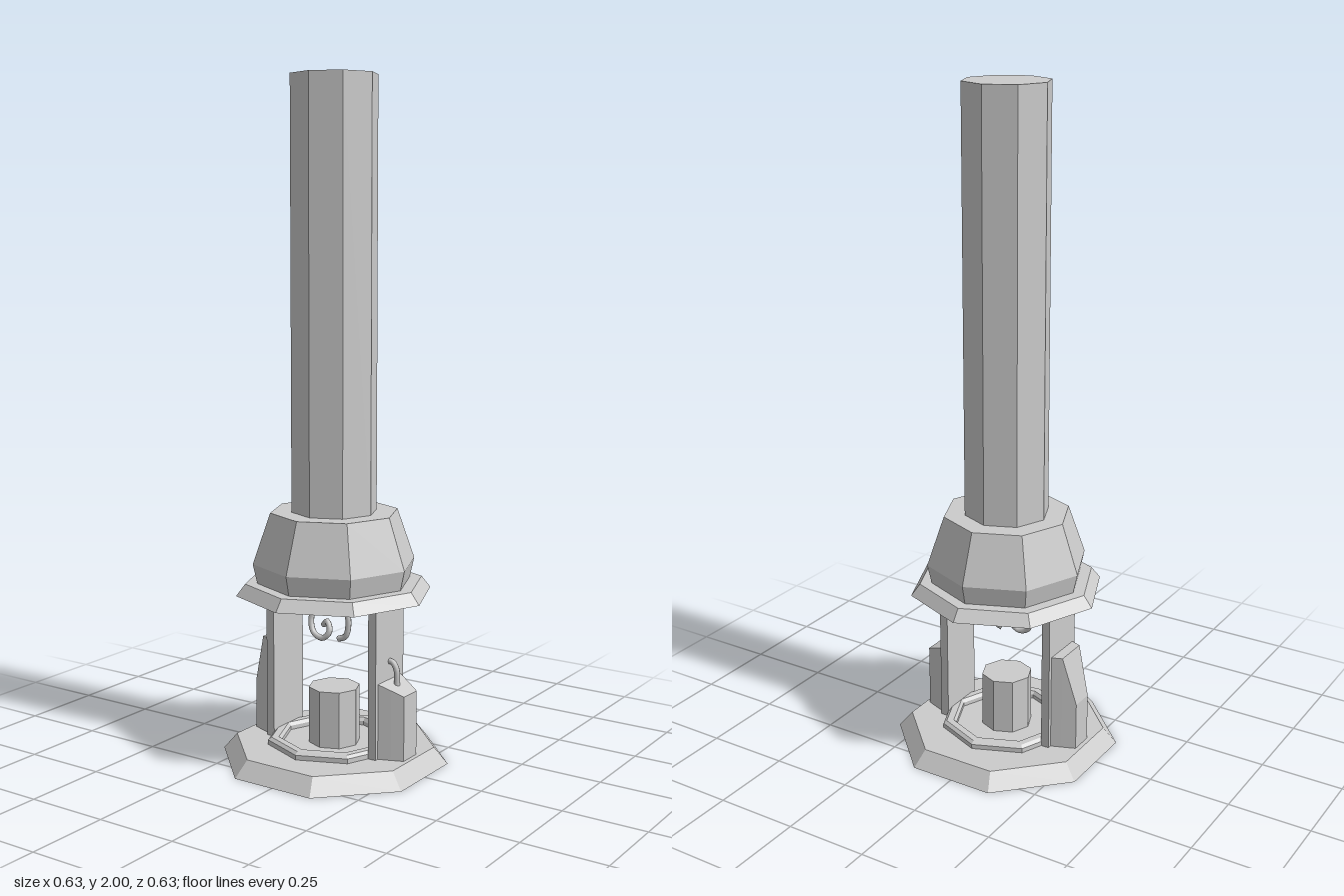
import * as THREE from 'three';

const flat = new THREE.MeshStandardMaterial({ color: 0xcccccc, flatShading: true });
const smooth = new THREE.MeshStandardMaterial({ color: 0xcccccc });

export function createModel() {
  const model = new THREE.Group();

  const add = (name, geometry, material = flat) => {
    const mesh = new THREE.Mesh(geometry, material);
    mesh.name = name;
    model.add(mesh);
    return mesh;
  };

  // Eight-sided turned part; profile runs [radius, y] from bottom to top
  const turned = (name, profile, phi = 0) =>
    add(name, new THREE.LatheGeometry(profile.map(([r, y]) => new THREE.Vector2(r, y)), 8, phi));

  // Block whose depth and height change outward; columns are [x, half depth, top]
  const block = (name, columns) => {
    const geometry = new THREE.BoxGeometry(2, 1, 1, 2, 1, 1);
    const p = geometry.attributes.position;
    for (let i = 0; i < p.count; i++) {
      const [x, half, top] = columns[Math.round(p.getX(i)) + 1];
      p.setXYZ(i, x, p.getY(i) > 0 ? top : 0.045, Math.sign(p.getZ(i)) * half);
    }
    geometry.computeVertexNormals();
    return add(name, geometry);
  };

  const wire = (name, points) => {
    const curve = new THREE.CatmullRomCurve3(points.map((p) => new THREE.Vector3(...p)));
    return add(name, new THREE.TubeGeometry(curve, 28, 0.009, 8), smooth);
  };

  // Base plate, with flat sides facing the axes
  turned('basePlate', [[0, 0], [0.342, 0], [0.301, 0.048], [0, 0.048]], Math.PI / 8);

  // Raised rim and central burner on the plate
  turned('baseRim', [[0.2, 0.045], [0.2, 0.062], [0.19, 0.07], [0.168, 0.07], [0.16, 0.06], [0.16, 0.045]]);
  turned('burner', [[0, 0.045], [0.077, 0.045], [0.077, 0.218], [0, 0.218]]);

  // Pair of flat posts carrying the hood
  for (const side of [-1, 1]) {
    const post = add(side > 0 ? 'leftPost' : 'rightPost', new THREE.BoxGeometry(0.026, 0.465, 0.15));
    post.position.set(side * 0.181, 0.2775, 0);
  }

  // Low box and tall box on the outer faces of the posts
  block('lowBox', [[0.193, 0.063, 0.272], [0.23, 0.049, 0.256], [0.265, 0.035, 0.24]]);
  block('tallBox', [[0.193, 0.063, 0.345], [0.225, 0.051, 0.345], [0.265, 0.035, 0.195]]).rotation.y = Math.PI;

  // Cable looping from the post into the low box
  wire('cable', [[0.185, 0.325, 0], [0.203, 0.325, 0], [0.217, 0.305, 0], [0.219, 0.255, 0]]);

  // Hood with brim and a smaller nozzle underneath
  turned('brim', [[0, 0.505], [0.292, 0.505], [0.265, 0.54], [0, 0.54]]);
  turned('hood', [[0.228, 0.535], [0.242, 0.598], [0.19, 0.748], [0, 0.748]]);
  turned('nozzle', [[0, 0.465], [0.137, 0.465], [0.15, 0.51]]);

  // Loose wires hanging from the nozzle
  wire('curledWire', [
    [-0.05, 0.48, 0], [-0.068, 0.45, 0], [-0.08, 0.41, 0.005], [-0.065, 0.372, 0.012],
    [-0.03, 0.362, 0.015], [-0.01, 0.385, 0.01], [-0.025, 0.41, 0], [-0.045, 0.395, -0.01],
  ]);
  wire('hookedWire', [
    [0.03, 0.48, 0], [0.045, 0.45, 0], [0.05, 0.41, 0], [0.04, 0.375, 0], [0.015, 0.363, 0],
  ]);

  // Tall stack
  turned('stack', [[0.127, 0.745], [0.127, 2], [0, 2]]);

  return model;
}
